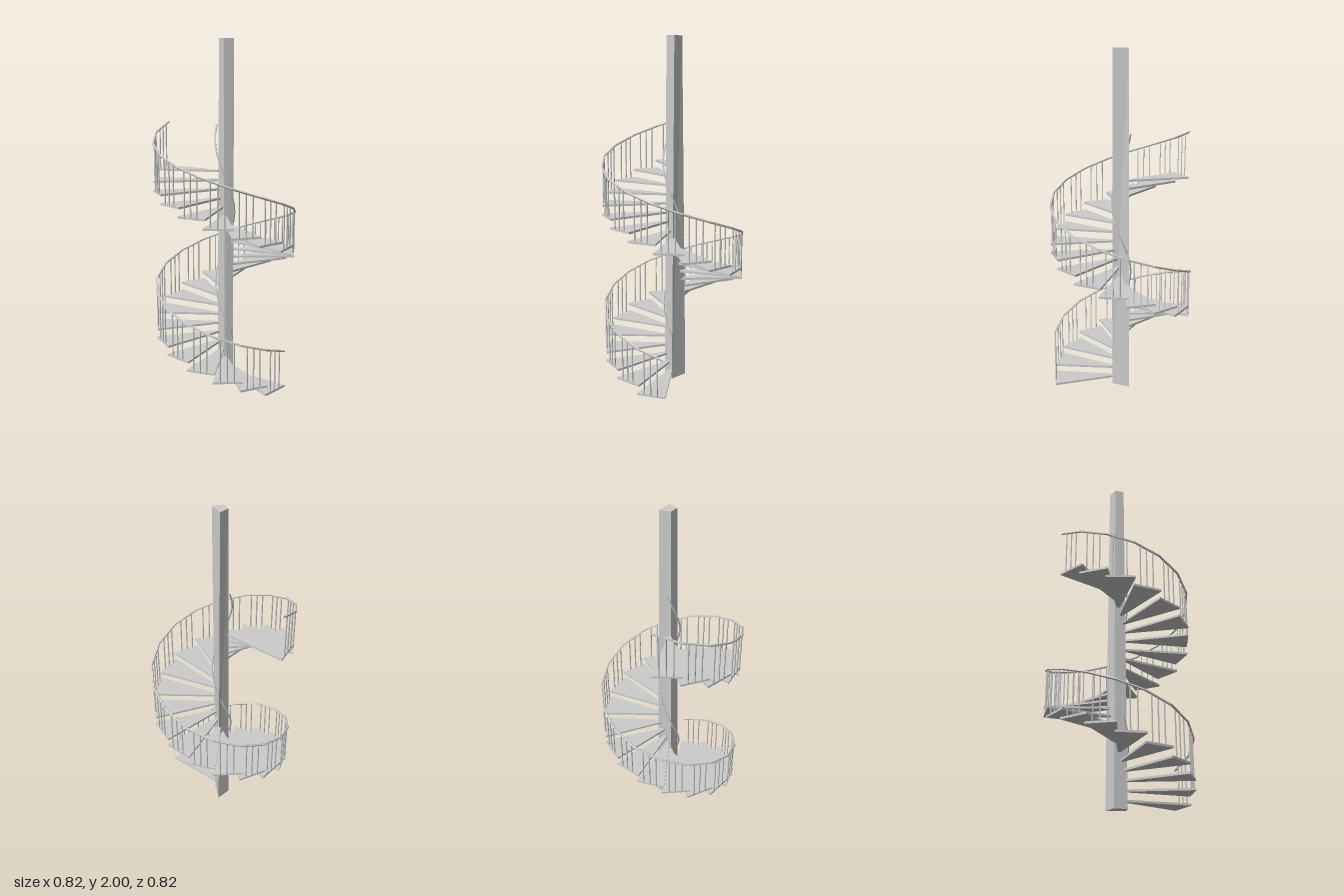
import * as THREE from 'three';

const STEPS = 25;
const RISE = 0.0506;
const TURN = THREE.MathUtils.degToRad(21.6);
const START = THREE.MathUtils.degToRad(23.2);
const RAIL_Y = 0.264;
const OUTER = 0.407, INNER = 0.042;

const material = new THREE.MeshStandardMaterial({
  color: 0xcccccc, flatShading: true, side: THREE.DoubleSide,
});

function addMesh(parent, geometry, name) {
  const mesh = new THREE.Mesh(geometry, material);
  mesh.name = name;
  parent.add(mesh);
  return mesh;
}

// Point on the helix after s steps
function helix(s, radius, y) {
  const a = START + s * TURN;
  return new THREE.Vector3(radius * Math.cos(a), y + s * RISE, radius * Math.sin(a));
}

// Four-sided centre post, tapering and slightly uneven; corners run +z, +x, -z, -x
function postGeometry() {
  const bottom = [[0.008, 0.053], [0.052, 0.022], [0, -0.077], [-0.045, 0]];
  const top = [[0.002, 0.039], [0.053, 0.008], [-0.008, -0.055], [-0.034, 0]];
  const geo = new THREE.CylinderGeometry(1, 1, 2, 4);
  geo.translate(0, 1, 0);
  const p = geo.attributes.position;
  for (let i = 0; i < p.count; i++) {
    const x = p.getX(i), z = p.getZ(i);
    if (Math.hypot(x, z) < 0.5) continue; // cap centres stay on the axis
    const corner = (Math.round(Math.atan2(x, z) / (Math.PI / 2)) + 4) % 4;
    const [cx, cz] = (p.getY(i) > 1 ? top : bottom)[corner];
    p.setX(i, cx);
    p.setZ(i, cz);
  }
  geo.computeVertexNormals();
  return geo;
}

// Wedge-shaped tread, slightly overlapping its neighbours
function treadGeometry() {
  const corner = (r, degrees) => {
    const a = THREE.MathUtils.degToRad(degrees);
    return new THREE.Vector2(r * Math.cos(a), r * Math.sin(a));
  };
  const shape = new THREE.Shape([
    corner(INNER, -1.4), corner(OUTER + 0.002, -1.4),
    corner(OUTER + 0.002, 22), corner(INNER, 22),
  ]);
  const geo = new THREE.ExtrudeGeometry(shape, { depth: 0.012, bevelEnabled: false });
  return geo.rotateX(Math.PI / 2);
}

// Handrail with one straight segment per step
function railGeometry(radius, thickness) {
  const points = [];
  for (let i = 0; i <= STEPS; i++) points.push(helix(i, radius, RAIL_Y));
  const curve = new THREE.CatmullRomCurve3(points);
  return new THREE.TubeGeometry(curve, STEPS, thickness, 5);
}

export function createModel() {
  const model = new THREE.Group();
  model.name = 'spiralStaircase';

  addMesh(model, postGeometry(), 'centrePost');
  addMesh(model, railGeometry(OUTER, 0.0065), 'outerHandrail');
  addMesh(model, railGeometry(0.056, 0.005), 'innerHandrail');

  const treads = new THREE.Group();
  treads.name = 'treads';
  const balusters = new THREE.Group();
  balusters.name = 'balusters';
  model.add(treads, balusters);

  const treadGeo = treadGeometry();
  const unitBar = new THREE.CylinderGeometry(0.0042, 0.0042, 1, 4);
  for (let i = 0; i < STEPS; i++) {
    const top = (i + 1) * RISE + 0.003;
    const tread = addMesh(treads, treadGeo, 'tread');
    tread.position.y = top;
    tread.rotation.y = -(START + i * TURN);

    // Three balusters along the outer edge of each tread
    const from = helix(i, OUTER - 0.002, RAIL_Y);
    const to = helix(i + 1, OUTER - 0.002, RAIL_Y);
    for (const t of [0.25, 0.5, 0.75]) {
      const head = from.clone().lerp(to, t);
      const foot = top - 0.012;
      const bar = addMesh(balusters, unitBar, 'baluster');
      bar.position.set(head.x, (head.y + foot) / 2, head.z);
      bar.scale.y = head.y - foot;
    }
  }
  return model;
}
